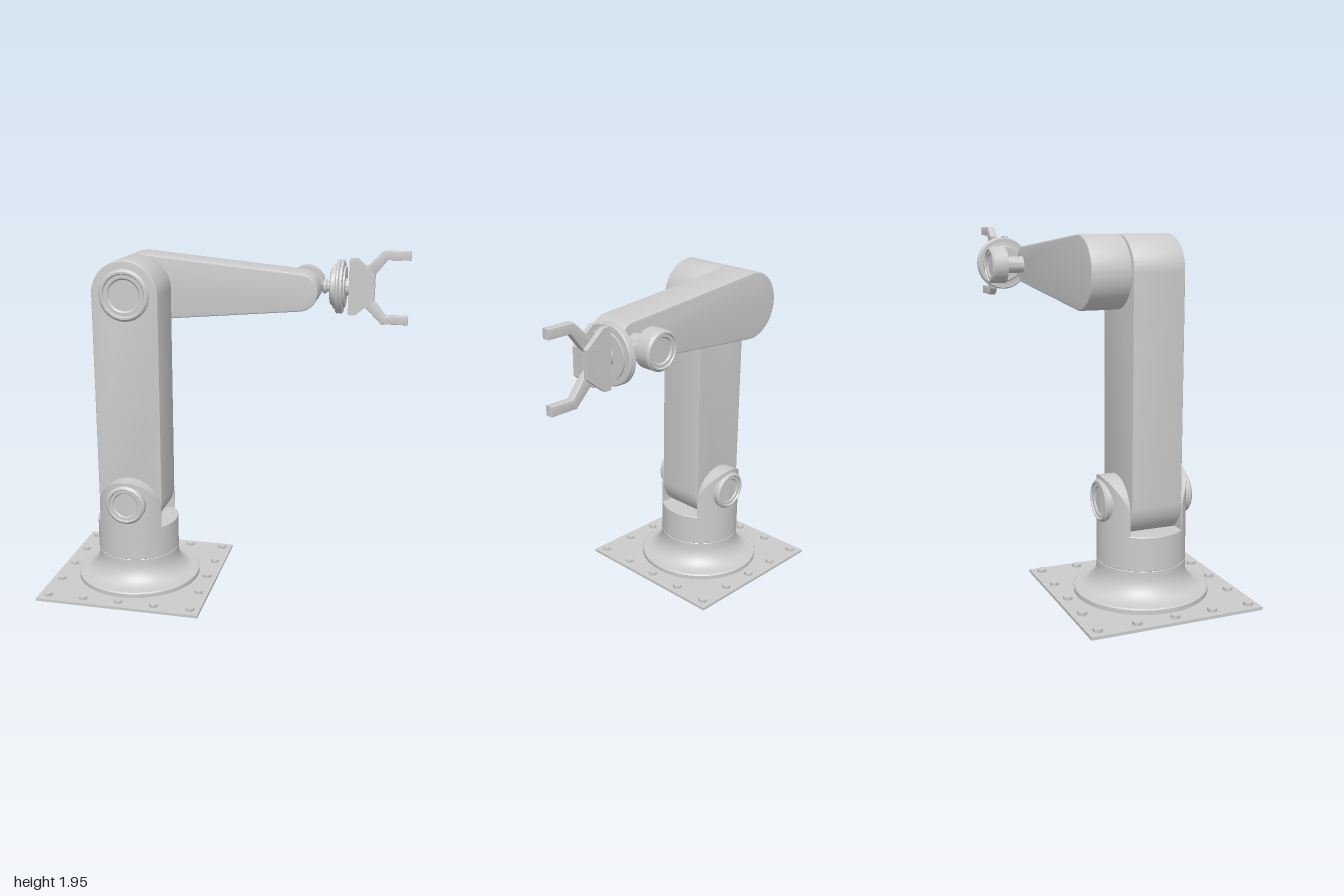
import * as THREE from 'three';
import { toCreasedNormals } from 'three/addons/utils/BufferGeometryUtils.js';

const material = new THREE.MeshStandardMaterial({ color: 0xcccccc });
const AXIS_X = -0.52, AXIS_Z = 0.04;      // vertical axis of the base
const ELBOW_Y = 1.735, HIP_Y = 0.54;      // joint heights
const WRIST_Z = -0.377;

export function createModel() {
  const model = new THREE.Group();

  function add(name, geometry, x = 0, y = 0, z = 0, parent = model) {
    const mesh = new THREE.Mesh(toCreasedNormals(geometry, 0.5), material);
    mesh.name = name;
    mesh.position.set(x, y, z);
    parent.add(mesh);
    return mesh;
  }

  // Turned part from [radius, height] pairs
  const turned = (profile, segments = 64) =>
    new THREE.LatheGeometry(profile.map(p => new THREE.Vector2(p[0], p[1])), segments);

  // Extrusion centred on z, with an optional small bevel kept inside the outline
  function slab(shape, depth, bevel = 0) {
    return new THREE.ExtrudeGeometry(shape, {
      depth: depth - 2 * bevel, curveSegments: 32, bevelEnabled: bevel > 0,
      bevelThickness: bevel, bevelSize: bevel, bevelOffset: -bevel, bevelSegments: 3,
    }).translate(0, 0, -depth / 2 + bevel);
  }

  // Link outline: two circles joined by their tangents, along +x
  function link(r0, r1, length) {
    const a = Math.acos((r0 - r1) / length);
    const shape = new THREE.Shape();
    shape.absarc(0, 0, r0, a, 2 * Math.PI - a, false);
    shape.absarc(length, 0, r1, -a, a, false);
    shape.closePath();
    return shape;
  }

  const polygon = points => new THREE.Shape(points.map(p => new THREE.Vector2(p[0], p[1])));

  // Round joint cap with a dished face, axis along +z
  const cap = (r, depth) => turned([
    [0, 0], [r, 0], [r, depth - 0.012], [r - 0.012, depth], [r * 0.84, depth],
    [r * 0.8, depth - 0.008], [r * 0.66, depth - 0.008], [r * 0.6, depth - 0.016], [0, depth - 0.016],
  ]).rotateX(Math.PI / 2);

  // Base plate and hexagonal bolts around its edge
  add('basePlate', new THREE.BoxGeometry(0.96, 0.016, 0.96), AXIS_X, 0.008, AXIS_Z);
  const bolts = new THREE.Group();
  bolts.name = 'baseBolts';
  model.add(bolts);
  for (let i = -2; i <= 2; i++) {
    for (let j = -2; j <= 2; j++) {
      if (Math.max(Math.abs(i), Math.abs(j)) < 2) continue;
      add('bolt', new THREE.CylinderGeometry(0.026, 0.026, 0.018, 6).rotateY(Math.PI / 6),
        AXIS_X + i * 0.212, 0.024, AXIS_Z + j * 0.212, bolts);
    }
  }

  // Flared pedestal
  const flare = [[0, 0.014], [0.365, 0.014], [0.365, 0.04], [0.358, 0.046]];
  for (let i = 0; i <= 12; i++) {
    const a = (i / 12) * Math.PI / 2;
    flare.push([0.34 - 0.1 * Math.sin(a), 0.17 - 0.122 * Math.cos(a)]);
  }
  flare.push([0.24, 0.197], [0.237, 0.2], [0.24, 0.203], [0.24, 0.382], [0.237, 0.386], [0, 0.386]);
  add('pedestal', turned(flare, 96), AXIS_X, 0, AXIS_Z);

  // Fork ears: arched on top, following the pedestal's round wall outside
  function ear() {
    const g = new THREE.BoxGeometry(2, 1, 1, 40, 1, 1);
    const p = g.attributes.position, r = 0.187;
    for (let i = 0; i < p.count; i++) {
      const s = Math.sin(p.getX(i) * Math.PI / 2), x = r * s;
      const y = p.getY(i) > 0 ? 0.488 + r * Math.sqrt(Math.max(0, 1 - s * s)) : 0.37;
      const z = p.getZ(i) > 0 ? Math.sqrt(0.24 * 0.24 - x * x) : 0.146;
      p.setXYZ(i, x, y, z);
    }
    return g;
  }
  for (const [side, turn] of [['front', 0], ['back', Math.PI]]) {
    add(side + 'ForkEar', ear(), AXIS_X, 0, AXIS_Z).rotation.y = turn;
    add(side + 'HipCap', cap(0.115, 0.12), AXIS_X, HIP_Y,
      AXIS_Z + (turn ? -0.133 : 0.133)).rotation.y = turn;
  }

  // Upright arm and elbow cap
  add('upperArm', slab(link(0.19, 0.19, ELBOW_Y - HIP_Y), 0.283, 0.008).rotateZ(Math.PI / 2),
    AXIS_X, HIP_Y, 0.044);
  add('elbowCap', cap(0.144, 0.04), AXIS_X, ELBOW_Y, 0.164);
  add('elbowSpacer', new THREE.CylinderGeometry(0.17, 0.17, 0.04, 48).rotateX(Math.PI / 2),
    AXIS_X, ELBOW_Y, -0.1);

  // Tapered forearm
  add('forearm', slab(link(0.19, 0.106, 0.918), 0.215, 0.008), AXIS_X, ELBOW_Y, -0.213);

  // Wrist pin, knob and shaft
  add('wristPin', new THREE.CylinderGeometry(0.048, 0.048, 0.14, 40).rotateX(Math.PI / 2),
    0.398, ELBOW_Y, -0.375);
  add('wristKnob', cap(0.105, 0.092).rotateY(Math.PI), 0.398, ELBOW_Y, -0.43);
  add('wristShaft', turned([
    [0, 0], [0.025, 0], [0.025, 0.1], [0.042, 0.112], [0.042, 0.122], [0.03, 0.135], [0.03, 0.2], [0, 0.2],
  ], 40).rotateZ(-Math.PI / 2), 0.398, ELBOW_Y, WRIST_Z);

  // Stepped tool disc
  add('toolDisc', turned([
    [0, 0], [0.1, 0], [0.108, 0.006], [0.108, 0.016], [0.126, 0.018], [0.126, 0.034], [0.148, 0.034],
    [0.154, 0.04], [0.154, 0.05], [0.146, 0.054], [0.154, 0.058], [0.154, 0.07], [0.148, 0.075],
    [0.118, 0.076], [0.118, 0.086], [0.05, 0.086], [0.05, 0.11], [0, 0.11],
  ]).rotateZ(-Math.PI / 2), 0.55, ELBOW_Y, WRIST_Z);

  // Gripper: two side plates around a core, with cross pins
  const gripper = new THREE.Group();
  gripper.name = 'gripper';
  gripper.position.set(0, ELBOW_Y + 0.002, WRIST_Z);
  model.add(gripper);
  const plate = polygon([
    [0.655, -0.157], [0.697, -0.157], [0.8, -0.072], [0.8, 0.072], [0.697, 0.157], [0.655, 0.157],
  ]);
  for (const s of [-1, 1]) add('gripperPlate', slab(plate, 0.028), 0, 0, s * 0.038, gripper);
  add('gripperCore', new THREE.BoxGeometry(0.04, 0.25, 0.07), 0.676, 0, 0, gripper);
  add('gripperPiston', new THREE.CylinderGeometry(0.016, 0.016, 0.1, 20).rotateZ(Math.PI / 2),
    0.735, 0, 0, gripper);

  // Bent fingers, mirrored top and bottom
  const finger = [
    [0.7, 0.04], [0.75, 0.03], [0.8, 0.073], [0.867, 0.159], [0.997, 0.159],
    [0.997, 0.209], [0.845, 0.209], [0.75, 0.114], [0.7, 0.09],
  ];
  for (const s of [-1, 1]) {
    const points = finger.map(([x, y]) => [x, s * y]);
    add(s > 0 ? 'upperFinger' : 'lowerFinger', slab(polygon(points), 0.042, 0.004), 0, 0, 0, gripper);
    add('fingerPin', new THREE.CylinderGeometry(0.014, 0.014, 0.11, 16).rotateX(Math.PI / 2),
      0.735, s * 0.07, 0, gripper);
  }

  return model;
}
